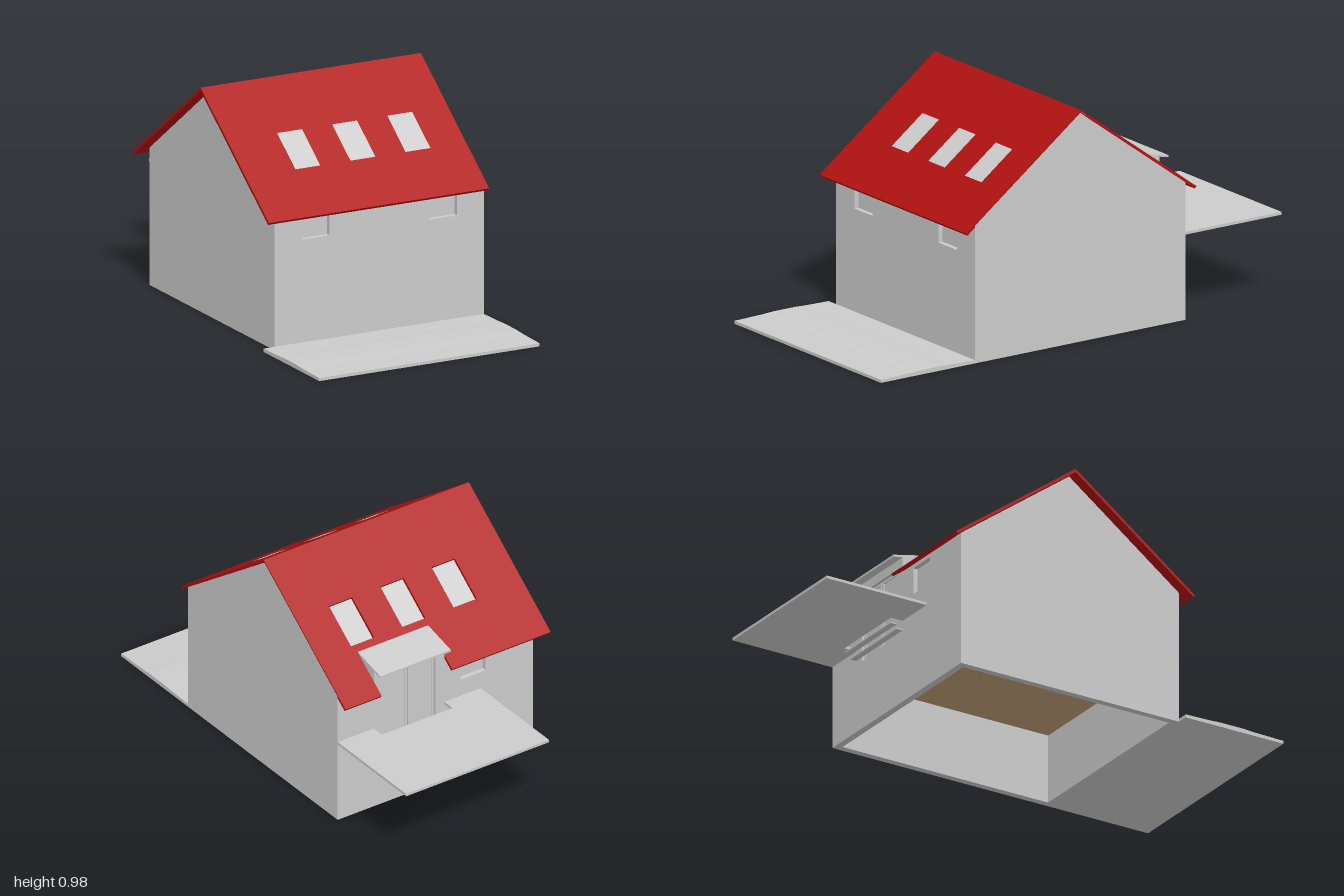
import * as THREE from 'three';

const grey = new THREE.MeshStandardMaterial({ color: 0xcccccc });
const red = new THREE.MeshStandardMaterial({ color: 0xb01111 });
const wood = new THREE.MeshStandardMaterial({ color: 0xc29f78 });

// Roof pitch: ridge height, overhang in z, slope angle
const RIDGE = 0.98, EAVE_Z = 0.575, SLOPE = 0.735;
const ANGLE = Math.atan(SLOPE), COS = Math.cos(ANGLE);
const DORMER = [-0.02, 0.33], DORMER_Z = 0.41;

const rect = (x0, x1, y0, y1) => [[x0, y0], [x1, y0], [x1, y1], [x0, y1]];

// Flat plate from an outline and hole outlines, thickness along +z
function plate(outline, depth, holes = []) {
  const toPoints = (list) => list.map(([x, y]) => new THREE.Vector2(x, y));
  const shape = new THREE.Shape(toPoints(outline));
  holes.forEach((h) => shape.holes.push(new THREE.Path(toPoints(h))));
  return new THREE.ExtrudeGeometry(shape, { depth, bevelEnabled: false });
}

// Outline given as (z, y), extruded between x0 and x1
function sideProfile(outline, x0, x1) {
  return plate(outline, x1 - x0).rotateY(-Math.PI / 2).translate(x1, 0, 0);
}

// Outline given as (x, z), lying flat with its top at y
function flatPlate(outline, y, thickness, holes) {
  return plate(outline, thickness, holes).rotateX(Math.PI / 2).translate(0, y, 0);
}

// Outline given as (x, horizontal distance from ridge), laid on one roof pitch
function pitchPlate(side, outline, thickness, offset, holes = []) {
  const map = (list) => list.map(([x, z]) => [x * side, -z / COS]);
  const g = plate(map(outline), thickness, holes.map(map))
    .translate(0, 0, -thickness - offset)
    .rotateX(ANGLE - Math.PI / 2);
  if (side < 0) g.rotateY(Math.PI);
  return g.translate(0, RIDGE, 0);
}

function pitchOutline(side, x0, x1, end) {
  if (side > 0) return rect(x0, x1, 0, end);
  const [a, b] = DORMER;
  return [[x0, 0], [x1, 0], [x1, end], [b, end], [b, DORMER_Z], [a, DORMER_Z], [a, end], [x0, end]];
}

export function createModel() {
  const house = new THREE.Group();
  house.name = 'house';
  const add = (name, geometry, material = grey) => {
    const mesh = new THREE.Mesh(geometry, material);
    mesh.name = name;
    house.add(mesh);
    return mesh;
  };
  const box = (name, x0, x1, y0, y1, z0, z1, material) =>
    add(name, new THREE.BoxGeometry(x1 - x0, y1 - y0, z1 - z0)
      .translate((x0 + x1) / 2, (y0 + y1) / 2, (z0 + z1) / 2), material);

  // Gable walls
  const apex = RIDGE - 0.007;
  const gable = [[-0.52, 0], [0.53, 0], [0.53, apex - 0.53 * SLOPE], [0, apex], [-0.52, apex - 0.52 * SLOPE]];
  add('leftGableWall', sideProfile(gable, 0.48, 0.51));
  add('rightGableWall', sideProfile(gable, -0.46, -0.43));

  // Front wall with two small windows
  const frontWindows = [[-0.33, -0.205], [0.255, 0.385]];
  add('frontWall', plate(rect(-0.43, 0.48, 0, 0.582), 0.03,
    frontWindows.map(([a, b]) => rect(a, b, 0.45, 0.565))).translate(0, 0, 0.5));
  frontWindows.forEach(([a, b]) => box('frontWindowPane', a, b, 0.45, 0.565, 0.502, 0.51));

  // Back wall, rising into the dormer, with a window and a doorway
  const [d0, d1] = DORMER;
  const backOutline = [[-0.43, 0], [0.48, 0], [0.48, 0.582], [d1, 0.582], [d1, 0.645],
    [d0, 0.645], [d0, 0.582], [-0.43, 0.582]];
  const door = [0.025, 0.285];
  add('backWall', plate(backOutline, 0.03,
    [rect(-0.225, -0.1, 0.45, 0.565), rect(...door, 0.3, 0.605)]).translate(0, 0, -0.52));
  box('backWindowPane', -0.225, -0.1, 0.45, 0.565, -0.5, -0.492);

  // Double door: two framed leaves
  const middle = (door[0] + door[1]) / 2;
  [[door[0], middle - 0.002], [middle + 0.002, door[1]]].forEach(([a, b]) => {
    add('doorLeafFrame', plate(rect(a, b, 0.3, 0.605), 0.012,
      [rect(a + 0.01, b - 0.01, 0.315, 0.593)]).translate(0, 0, -0.508));
    box('doorLeafPanel', a, b, 0.3, 0.605, -0.504, -0.498);
  });

  // Dormer cheeks and its shallow roof
  const cheek = [[-0.52, 0.56], [-0.4, 0.655], [-0.4, 0.678], [-0.52, 0.65]];
  add('dormerCheek', sideProfile(cheek, d0, d0 + 0.02));
  add('dormerCheek', sideProfile(cheek, d1 - 0.02, d1));
  add('dormerRoof', sideProfile(
    [[-0.565, 0.637], [-0.4, 0.674], [-0.4, 0.683], [-0.565, 0.646]], d0, d1));

  // Roof pitches with three skylights each, above a plain lining that closes the skylights
  const skylights = [-0.28, -0.025, 0.23].map((x) => rect(x, x + 0.115, 0.226, 0.38));
  [1, -1].forEach((side) => {
    const label = side > 0 ? 'front' : 'back';
    add(label + 'RoofPitch', pitchPlate(side, pitchOutline(side, -0.51, 0.51, EAVE_Z), 0.012, 0, skylights), red);
    add(label + 'RoofLining', pitchPlate(side, pitchOutline(side, -0.43, 0.48, 0.495), 0.01, 0.0125));
  });

  // Upper floor with a stair opening
  add('upperFloor', flatPlate(rect(-0.43, 0.48, -0.49, 0.5), 0.315, 0.015,
    [rect(-0.425, -0.3, -0.35, -0.01)]), wood);

  // Rear terrace, notched at the door, with two thin treads in the notch
  add('terrace', flatPlate([[-0.2, -1], [0.51, -1], [0.51, -0.52], [d1, -0.52], [d1, -0.577],
    [d0, -0.577], [d0, -0.52], [-0.2, -0.52]], 0.373, 0.012));
  box('terraceStep', d0, d1, 0.338, 0.343, -0.577, -0.549);
  box('terraceStep', d0, d1, 0.318, 0.323, -0.549, -0.521);

  // Front paving, slightly crowned
  add('frontPaving', sideProfile([[0.53, 0], [1, 0], [1, 0.013], [0.86, 0.016], [0.8, 0.019],
    [0.7, 0.019], [0.64, 0.016], [0.53, 0.014]], -0.51, 0.51));

  return house;
}
